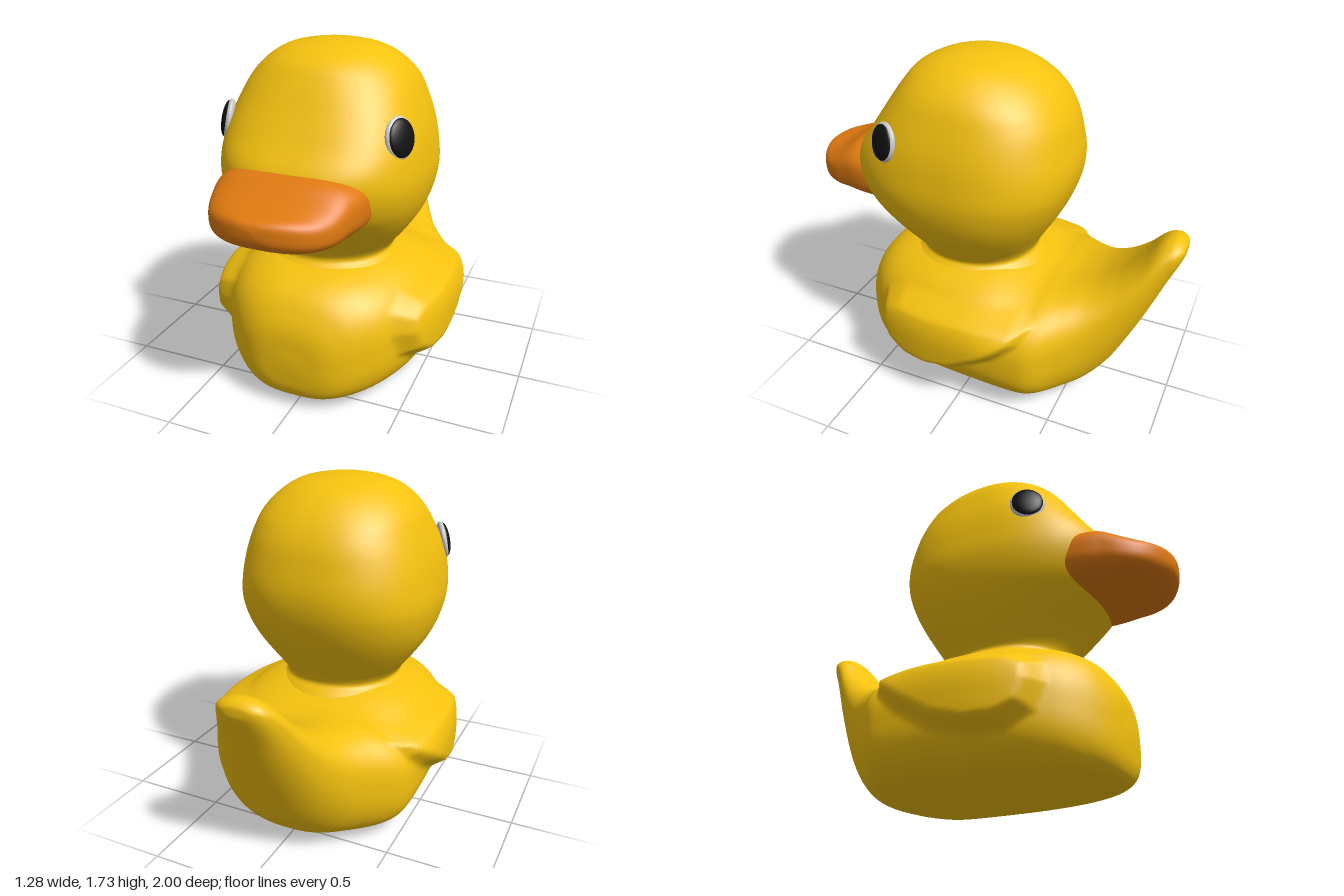
import * as THREE from 'three';

const YELLOW = 0xf5c20f, ORANGE = 0xe07a10;
const { smoothstep, clamp } = THREE.MathUtils;

// Smooth value of every column of a station table at t in 0..1
function sample(stations, t) {
  const last = stations.length - 1;
  const i = Math.min(Math.floor(t * last), last - 1), f = t * last - i;
  const at = (k) => stations[clamp(k, 0, last)];
  return stations[i].map((b, c) => {
    const p = at(i - 1)[c], q = at(i + 1)[c], r = at(i + 2)[c];
    return b + 0.5 * f * (q - p + f * (2 * p - 5 * b + 4 * q - r + f * (3 * (b - q) + r - p)));
  });
}

// Closed rings joined along a station table; ring(values, cos, sin) returns a point
function loft(stations, rows, cols, ring) {
  const pos = [], index = [];
  for (let i = 0; i <= rows; i++) {
    const s = sample(stations, i / rows);
    for (let j = 0; j < cols; j++) {
      const a = (j / cols) * Math.PI * 2;
      pos.push(...ring(s, Math.cos(a), Math.sin(a)));
      if (i === rows) continue;
      const k = i * cols + j, l = i * cols + (j + 1) % cols;
      index.push(k, l, k + cols, l, l + cols, k + cols);
    }
  }
  // Close both ends
  for (let j = 1; j < cols - 1; j++) {
    const e = rows * cols;
    index.push(0, j + 1, j, e, e + j, e + j + 1);
  }
  const geo = new THREE.BufferGeometry();
  geo.setAttribute('position', new THREE.Float32BufferAttribute(pos, 3));
  geo.setIndex(index);
  geo.computeVertexNormals();
  return geo;
}

// Superellipse radius in direction (c, s)
const radius = (c, s, n) => Math.pow(Math.abs(c) ** n + Math.abs(s) ** n, -1 / n);

function part(name, geo, color) {
  const mesh = new THREE.Mesh(geo, new THREE.MeshStandardMaterial({ color }));
  mesh.name = name;
  return mesh;
}

// Wing outline in (z, y), counter-clockwise and convex
const WING = [[.46, .40], [.44, .50], [.33, .555], [-.05, .57], [-.30, .565], [-.37, .53],
  [-.33, .46], [-.2, .36], [-.02, .25], [.15, .205], [.3, .215], [.42, .28]];

// How far the wing swells out of the body at (z, y)
function wingSwell(z, y) {
  let d = -Infinity;
  WING.forEach(([az, ay], i) => {
    const [bz, by] = WING[(i + 1) % WING.length];
    const dz = bz - az, dy = by - ay;
    d = Math.max(d, ((z - az) * dy - (y - ay) * dz) / Math.hypot(dz, dy));
  });
  return 0.08 * smoothstep(-d, -0.025, 0.055);
}

// Body and tail: z, bottom, top, half width, from tail tip to breast
const BODY = [
  [-1, .875, .895, .01], [-.995, .85, .915, .07], [-.97, .785, .935, .115],
  [-.93, .69, .94, .145], [-.88, .56, .915, .18], [-.8, .37, .83, .235],
  [-.7, .17, .75, .30], [-.6, .06, .69, .37], [-.5, .022, .655, .45],
  [-.4, .006, .637, .53], [-.3, .002, .635, .555], [-.1, 0, .69, .56],
  [.15, .002, .70, .545], [.35, .008, .68, .50], [.5, .018, .645, .425],
  [.6, .035, .585, .335], [.66, .065, .50, .25], [.69, .12, .42, .17],
  [.70, .20, .32, .08], [.703, .26, .27, .01],
];

function bodyPoint([z, bottom, top, w], c, s) {
  const tail = smoothstep(-z, 0.3, 0.8);
  const mid = bottom + (top - bottom) * (0.5 + 0.1 * tail);
  const r = radius(c, s, s > 0 ? 2.6 - 0.5 * tail : 2.9 - 0.7 * tail);
  let x = w * r * c;
  let y = mid + (s > 0 ? top - mid : mid - bottom) * r * s;
  // Shallow dish in the back, in front of the tail tip
  if (s > 0) y -= 0.02 * smoothstep(-z, 0.25, 0.5) * smoothstep(z, -0.88, -0.7) * Math.exp(-((x / w / 0.45) ** 2)) * s;
  x += Math.sign(c) * wingSwell(z, y) * smoothstep(Math.abs(c), 0, 0.5);
  return [x, Math.max(y, 0), z];
}

// Head and neck: y, half width, back z, front z, squareness, from crown to collar
const HEAD = [
  [1.73, .01, .09, .11, 2], [1.724, .1, .01, .2, 2], [1.70, .22, -.1, .30, 2.1],
  [1.65, .31, -.21, .40, 2.2], [1.57, .385, -.30, .465, 2.4], [1.46, .435, -.37, .535, 2.7],
  [1.34, .475, -.405, .615, 2.8], [1.22, .497, -.425, .70, 2.6], [1.11, .505, -.415, .705, 2.5],
  [1.0, .487, -.38, .66, 2.4], [.9, .447, -.33, .57, 2.3], [.8, .38, -.27, .475, 2.2],
  [.73, .325, -.23, .42, 2.1], [.69, .305, -.22, .41, 2.1], [.66, .33, -.25, .44, 2.1],
  [.62, .37, -.29, .49, 2.1],
];

function headPoint([y, w, back, front, n], c, s) {
  const r = radius(c, s, s > 0 ? n : Math.min(n, 2.5));
  return [w * r * c, y, 0.1 + (s > 0 ? front - 0.1 : 0.1 - back) * r * s];
}

// Bill: z, bottom, top, half width, from root to tip
const BILL = [
  [.45, .95, 1.22, .345], [.55, .94, 1.23, .36], [.65, .94, 1.235, .352], [.72, .942, 1.225, .335],
  [.8, .947, 1.18, .313], [.87, .958, 1.15, .275], [.925, .975, 1.138, .22],
  [.965, 1.0, 1.13, .15], [.99, 1.03, 1.115, .075], [1, 1.07, 1.09, .01],
];

function billPoint([z, bottom, top, w], c, s) {
  const r = radius(c, s, 3);
  return [w * r * c, (top + bottom) / 2 + (top - bottom) / 2 * r * s, z];
}

// Flat oval eye: pale rim with a dark pupil just proud of it
function createEye(side) {
  const eye = new THREE.Group();
  eye.name = side > 0 ? 'leftEye' : 'rightEye';
  const rim = part('eyeRim', new THREE.SphereGeometry(1, 40, 24), 0xdddddd);
  rim.scale.set(.086, .098, .03);
  const pupil = part('pupil', new THREE.SphereGeometry(1, 40, 24), 0x111111);
  pupil.scale.set(.077, .088, .025);
  pupil.position.z = .012;
  eye.add(rim, pupil);
  eye.position.set(side * .427, 1.36, .4);
  eye.lookAt(side * (.427 + .88), 1.36 + .2, .4 + .43);
  return eye;
}

export function createModel() {
  const model = new THREE.Group();
  model.name = 'bathDuck';
  model.add(
    part('bodyWithWingsAndTail', loft(BODY, 170, 168, bodyPoint), YELLOW),
    part('head', loft(HEAD, 90, 96, headPoint), YELLOW),
    part('bill', loft(BILL, 54, 72, billPoint), ORANGE),
    createEye(1),
    createEye(-1),
  );
  return model;
}
